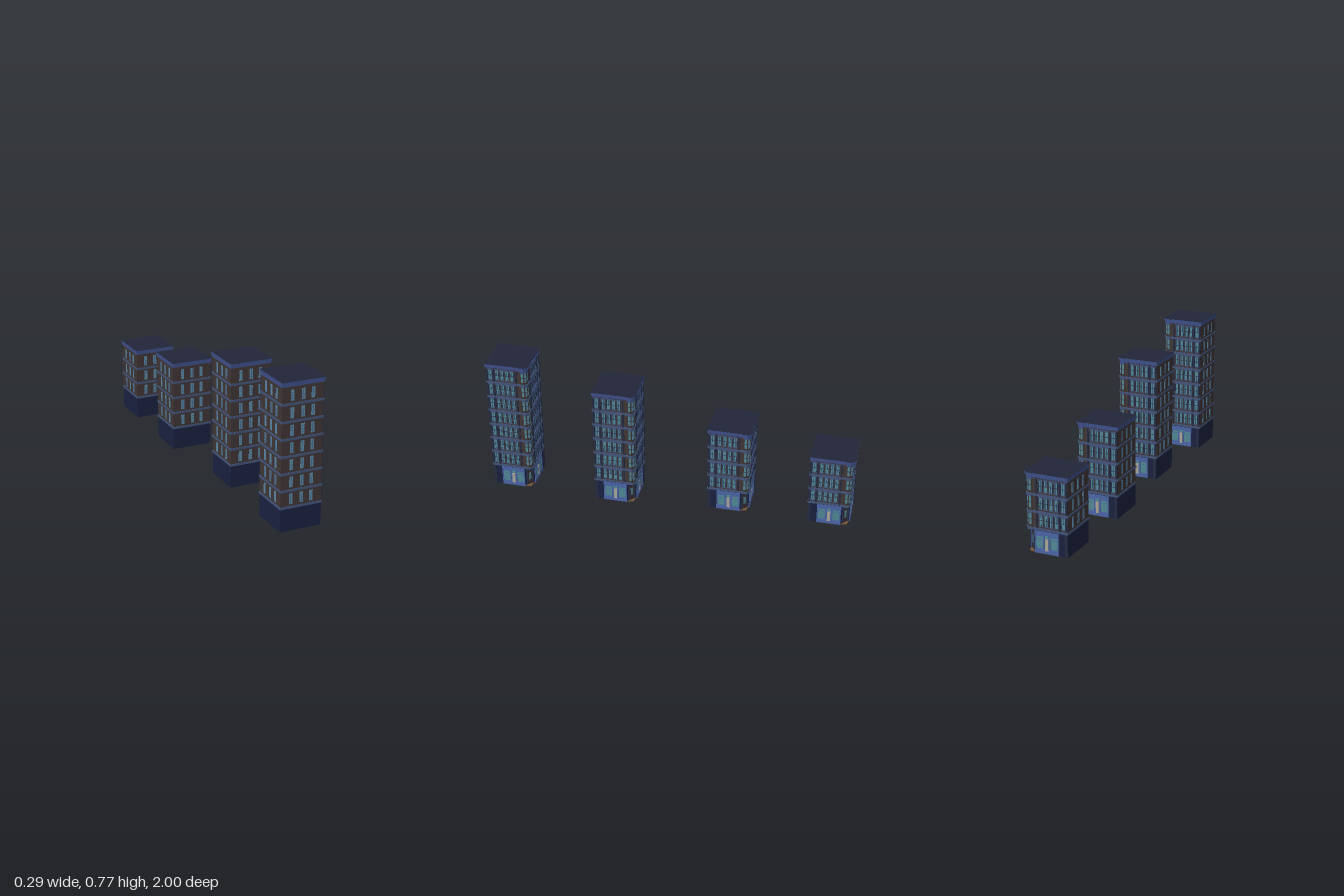
import * as THREE from 'three';
import { mergeGeometries } from 'three/addons/utils/BufferGeometryUtils.js';

const H = 0.111;            // half width of a tower body
const BASE = 0.125;         // height of the shop floor
const PITCH = 0.0885;       // storey height
const CUT = 0.042;          // corner cut of the shop entrance
const TURRET = H - 0.02;    // centre of the corner turret

const COLORS = {
  brickWalls: 0x403535, shopBase: 0x1a2140, floorBands: 0x42547a, cornice: 0x3d4f88,
  roof: 0x22263a, plainWindows: 0x5c8ba8, windowBars: 0x3c5a86, windowGlass: 0x4f8794,
  windowFrames: 0x2a3556, pilasters: 0x252a42, shopFront: 0x4a63a4, shopGlass: 0x4f8794,
  shopDoors: 0xa8a598, cornerDoor: 0x3a2f30, doorStep: 0x7a5a40,
};

// Square footprint with the entrance corner (+x, -z) cut off
function footprint(plain, ornate, cut) {
  return [[-plain, -plain], [ornate, -plain], [ornate, ornate - cut], [ornate - cut, ornate], [-plain, ornate]];
}

function octagon(apothem) {
  const r = apothem / Math.cos(Math.PI / 8);
  return Array.from({ length: 8 }, (_, i) => {
    const t = (i + 0.5) * Math.PI / 4;
    return [TURRET + r * Math.cos(t), TURRET + r * Math.sin(t)];
  });
}

function createTower(storeys) {
  const parts = {};
  const add = (name, g) => (parts[name] ??= []).push(g.index ? g.toNonIndexed() : g);

  // Upright prism over a footprint
  const prism = (name, points, y0, y1) => {
    const shape = new THREE.Shape(points.map(p => new THREE.Vector2(...p)));
    const g = new THREE.ExtrudeGeometry(shape, { depth: y1 - y0, bevelEnabled: false });
    add(name, g.rotateX(-Math.PI / 2).translate(0, y0, 0));
  };

  // Same block on both plain faces (+z and -x)
  const plain = (name, a, y, w, h, out) => {
    const d = out + 0.004, c = H + (out - 0.004) / 2;
    add(name, new THREE.BoxGeometry(w, h, d).translate(a, y, c));
    add(name, new THREE.BoxGeometry(d, h, w).translate(-c, y, a));
  };

  // Same block on both street faces (+x and -z); a runs towards the turret
  const street = (name, a, y, w, h, out, edge = H) => {
    const d = out + 0.004, c = edge + (out - 0.004) / 2;
    add(name, new THREE.BoxGeometry(d, h, w).translate(c, y, -a));
    add(name, new THREE.BoxGeometry(w, h, d).translate(a, y, -c));
  };

  // Block on the diagonal through the entrance corner
  const diagonal = (name, dist, y, w, h, out, a = 0) => {
    const g = new THREE.BoxGeometry(w, h, out + 0.004).translate(a, y, dist + (out - 0.004) / 2);
    add(name, g.rotateY(Math.PI * 3 / 4));
  };

  const top = BASE + storeys * PITCH + 0.024;
  const eaves = top - 0.024;

  // Main masses
  prism('shopBase', footprint(H, H, CUT), 0, BASE - 0.005);
  prism('brickWalls', footprint(H, H, 0.022), BASE - 0.005, eaves + 0.002);
  prism('brickWalls', octagon(0.023), BASE - 0.005, eaves);

  // Shop fronts: fascia, plinth, posts, glass and door
  street('shopFront', 0.004, 0.055, 0.128, 0.11, 0.001);
  street('shopFront', 0.004, 0.107, 0.13, 0.016, 0.005);
  street('shopFront', 0.004, 0.011, 0.13, 0.022, 0.004);
  for (const a of [-0.058, -0.012, 0.02, 0.066]) street('shopFront', a, 0.06, 0.005, 0.12, 0.005);
  for (const a of [-0.035, 0.043]) {
    street('shopGlass', a, 0.057, 0.037, 0.062, 0.002);
    street('shopFront', a, 0.075, 0.037, 0.002, 0.003);
  }
  street('shopDoors', 0.004, 0.047, 0.017, 0.062, 0.005);
  street('shopGlass', 0.004, 0.088, 0.022, 0.014, 0.003);
  street('pilasters', -H + 0.009, 0.06, 0.016, 0.12, 0.003);

  // Corner entrance beneath the turret
  const wall = (2 * H - CUT) / Math.SQRT2;
  diagonal('cornerDoor', wall, 0.05, 0.026, 0.088, 0.002);
  diagonal('shopGlass', wall, 0.06, 0.014, 0.045, 0.003);
  for (const a of [-0.018, 0.018]) diagonal('windowFrames', wall, 0.055, 0.006, 0.11, 0.004, a);
  prism('doorStep', [[H, H - CUT], [H - 0.008, H - 0.008], [H - CUT, H]], 0, 0.006);

  for (let i = 0; i < storeys; i++) {
    const y0 = BASE + i * PITCH;
    const yc = y0 + 0.047;

    // Floor band around the tower and turret
    prism('floorBands', footprint(H + 0.003, H + 0.004, 0.02), y0 - 0.006, y0 + 0.006);
    prism('floorBands', octagon(0.028), y0 - 0.006, y0 + 0.006);

    // Plain faces: three sash windows
    for (const a of [-0.056, 0.002, 0.055]) {
      plain('plainWindows', a, yc - 0.003, 0.019, 0.056, 0.0008);
      plain('windowBars', a, yc - 0.003, 0.0015, 0.056, 0.0014);
      for (const dy of [-0.017, -0.003, 0.011]) plain('windowBars', a, yc + dy, 0.019, 0.0012, 0.0014);
    }

    // Street faces: framed windows between pilasters
    for (const [a, w] of [[-0.088, 0.02], [-0.05, 0.017], [-0.022, 0.017], [0.006, 0.017], [0.034, 0.017]]) {
      street('windowGlass', a, yc, w, 0.056, 0.001);
      for (const s of [-1, 1]) street('windowFrames', a + s * (w / 2 + 0.001), yc, 0.003, 0.058, 0.003);
      street('windowFrames', a, yc, w, 0.003, 0.002);
      street('windowFrames', a, yc, 0.0015, 0.056, 0.002);
      street('floorBands', a, yc + 0.031, w + 0.007, 0.006, 0.005);
      street('floorBands', a, yc - 0.03, w + 0.006, 0.004, 0.005);
    }
    for (const a of [-0.106, -0.069, 0.056]) street('pilasters', a, yc - 0.003, 0.009, PITCH - 0.012, 0.004);

    // Turret windows on its three outer sides
    street('windowGlass', TURRET, yc, 0.012, 0.056, 0.001, TURRET + 0.023);
    street('windowFrames', TURRET, yc, 0.012, 0.003, 0.002, TURRET + 0.023);
    street('floorBands', TURRET, yc + 0.031, 0.016, 0.005, 0.003, TURRET + 0.023);
    const face = TURRET * Math.SQRT2 + 0.023;
    diagonal('plainWindows', face, yc, 0.012, 0.056, 0.001);
    diagonal('windowFrames', face, yc, 0.012, 0.003, 0.002);
    diagonal('floorBands', face, yc + 0.031, 0.016, 0.005, 0.003);
  }

  // Stepped cornice with brackets, then the flat roof
  [[0.003, 0.026], [0.006, 0.029], [0.010, 0.034]].forEach(([out, apothem], i) => {
    const y0 = eaves + [0, 0.007, 0.013][i], y1 = eaves + [0.007, 0.013, 0.023][i];
    prism('cornice', footprint(H + 0.004, H + out, 0.018), y0, y1);
    prism('cornice', octagon(apothem), y0 - (i ? 0 : 0.008), y1);
  });
  for (let i = 0; i < 11; i++) street('cornice', -0.104 + i * 0.0165, eaves + 0.002, 0.005, 0.016, 0.006);
  prism('roof', footprint(H + 0.0038, H + 0.0098, 0.018), top - 0.001, top);
  prism('roof', octagon(0.0338), top - 0.001, top);

  const tower = new THREE.Group();
  for (const [name, list] of Object.entries(parts)) {
    const mesh = new THREE.Mesh(mergeGeometries(list), new THREE.MeshStandardMaterial({ color: COLORS[name] }));
    mesh.name = name;
    tower.add(mesh);
  }
  return tower;
}

export function createModel() {
  const model = new THREE.Group();
  model.name = 'cornerBuildings';
  // Storeys above the shop floor, x, z
  [[7, 0.003, 0.885], [6, 0.022, 0.294], [4, -0.032, -0.325], [3, -0.027, -0.875]].forEach(([storeys, x, z], i) => {
    const tower = createTower(storeys);
    tower.name = `building${i + 1}`;
    tower.position.set(x, 0, z);
    model.add(tower);
  });
  return model;
}
